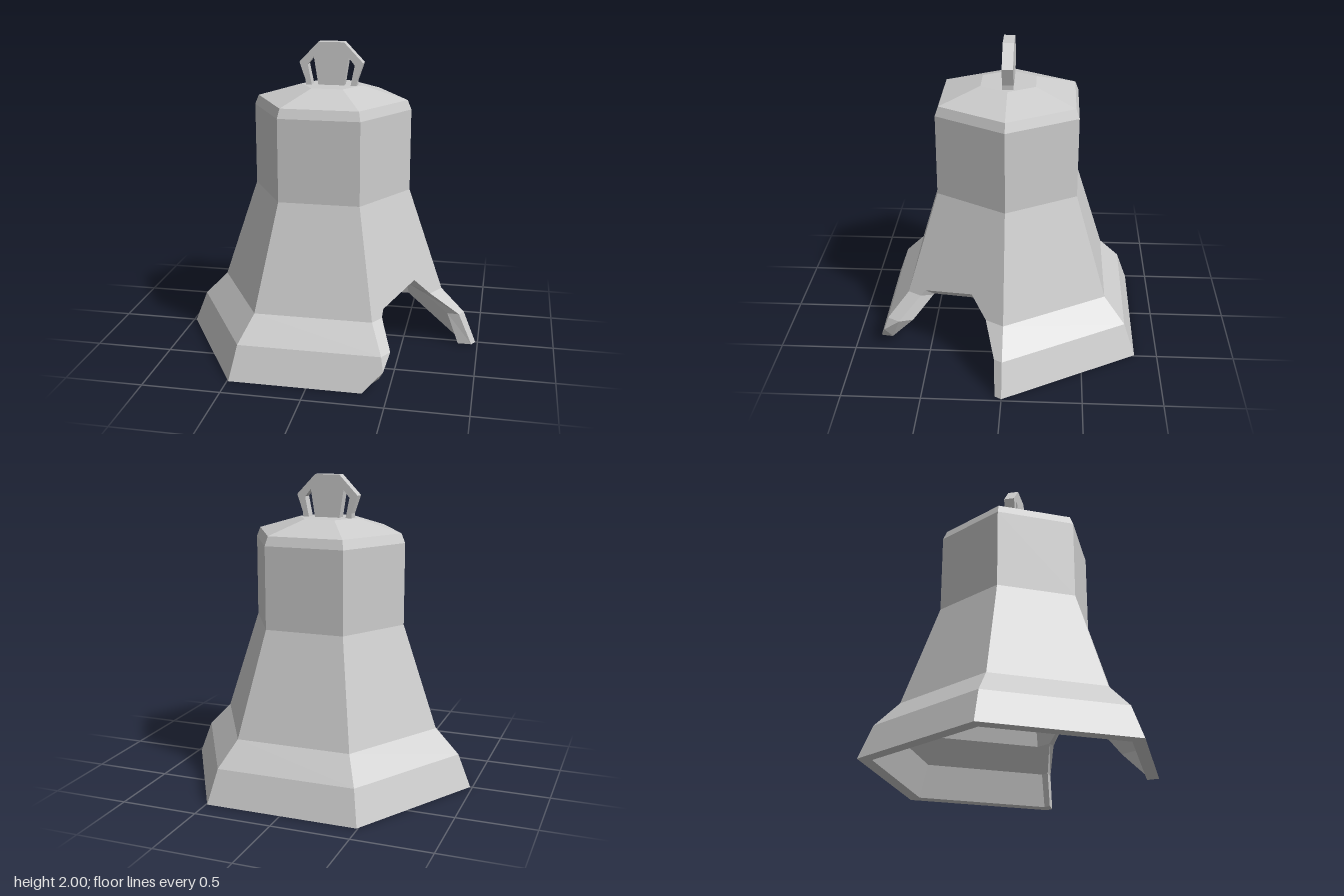
import * as THREE from 'three';

// Radius (to the hexagon corners) and height, from the rim up
const OUTER = [[0.985, 0], [0.9, 0.215], [0.745, 0.375], [0.515, 1.05], [0.515, 1.58], [0.49, 1.64], [0.2, 1.725], [0, 1.727]];
const INNER = [[0.895, 0], [0.82, 0.215], [0.68, 0.375], [0.445, 1.05], [0.445, 1.55], [0, 1.65]];

// Edge of the broken-out gap: [position around in sixths, height]
const OUTER_GAP = [[0.05, 0], [0.065, 0.215], [0.175, 0.375], [0.343, 0.5], [0.835, 0.42], [0.868, 0.375], [0.9, 0.215], [1, 0.13], [1.15, 0]];
const INNER_GAP = [[0.055, 0], [0.065, 0.215], [0.16, 0.375], [0.31, 0.455], [0.8, 0.385], [0.81, 0.375], [0.86, 0.215], [1, 0.06], [1.1, 0]];

// Point on the hexagonal surface of a profile
function pointOn(profile, [t, y]) {
  let k = 0;
  while (k < profile.length - 2 && y > profile[k + 1][1]) k++;
  const [r0, y0] = profile[k], [r1, y1] = profile[k + 1];
  const r = r0 + (r1 - r0) * (y - y0) / (y1 - y0);
  const i = Math.floor(t), f = t - i;
  const a = i * Math.PI / 3, b = (i + 1) * Math.PI / 3;
  return [
    r * (Math.cos(a) * (1 - f) + Math.cos(b) * f), y,
    r * (Math.sin(a) * (1 - f) + Math.sin(b) * f),
  ];
}

function flatGeometry(positions) {
  const g = new THREE.BufferGeometry();
  g.setAttribute('position', new THREE.Float32BufferAttribute(positions, 3));
  g.computeVertexNormals();
  return g;
}

// Six-sided wall with the gap left open
function wallGeometry(profile, gap, outward) {
  const out = [];
  const addPolygon = (poly) => {
    const pts = poly.map(([t, y]) => new THREE.Vector2(t, y));
    for (const [a, b, c] of THREE.ShapeUtils.triangulateShape(pts, [])) {
      const ccw = THREE.ShapeUtils.area([pts[a], pts[b], pts[c]]) > 0;
      const order = ccw === outward ? [a, c, b] : [a, b, c];
      for (const n of order) out.push(...pointOn(profile, poly[n]));
    }
  };
  const ys = profile.map((p) => p[1]);
  for (let side = 0; side < 6; side++) {
    for (let k = 0; k < ys.length - 1; k++) {
      const lo = ys[k], hi = ys[k + 1];
      if (side === 0 && k < 2) {
        // strips left standing on both sides of the gap
        addPolygon([[0, lo], gap[k], gap[k + 1], [0, hi]]);
        if (k === 0) addPolygon([gap[7], [1, hi], gap[6]]);
        else addPolygon([gap[6], [1, lo], [1, hi], gap[5]]);
      } else if (side === 0 && k === 2) {
        addPolygon([[0, lo], gap[2], gap[3], gap[4], gap[5], [1, lo], [1, hi], [0, hi]]);
      } else if (side === 1 && k === 0) {
        addPolygon([gap[8], [2, lo], [2, hi], [1, hi], gap[7]]);
      } else {
        addPolygon([[side, lo], [side + 1, lo], [side + 1, hi], [side, hi]]);
      }
    }
  }
  return flatGeometry(out);
}

// Strip joining a path on the outside to one on the inside
function edgeGeometry(outerPath, innerPath) {
  const out = [];
  const o = outerPath.map((p) => pointOn(OUTER, p));
  const n = innerPath.map((p) => pointOn(INNER, p));
  for (let i = 0; i < o.length - 1; i++) {
    out.push(...o[i], ...o[i + 1], ...n[i + 1], ...o[i], ...n[i + 1], ...n[i]);
  }
  return flatGeometry(out);
}

export function createModel() {
  const model = new THREE.Group();
  model.name = 'brokenBell';
  const metal = new THREE.MeshStandardMaterial({ color: 0xcccccc });
  metal.name = 'greyMetal';
  const add = (name, geometry) => {
    const mesh = new THREE.Mesh(geometry, metal);
    mesh.name = name;
    model.add(mesh);
  };

  // Bell body
  add('outerWall', wallGeometry(OUTER, OUTER_GAP, true));
  add('innerWall', wallGeometry(INNER, INNER_GAP, false));
  add('brokenEdge', edgeGeometry(OUTER_GAP, INNER_GAP));

  // Underside of the rim, from one end of the gap round to the other
  const corners = [2, 3, 4, 5, 6].map((t) => [t, 0]);
  add('rim', edgeGeometry(
    [OUTER_GAP[8], ...corners, [6 + OUTER_GAP[0][0], 0]],
    [INNER_GAP[8], ...corners, [6 + INNER_GAP[0][0], 0]],
  ));

  // Hanging loop: flat plate with a slot on each side of its centre
  const half = [[0.083, 1.72], [0.112, 1.905], [0.152, 1.855], [0.125, 1.72], [0.165, 1.72], [0.167, 1.755], [0.207, 1.87], [0.083, 2]];
  const outline = [...half, ...half.map(([x, y]) => [-x, y]).reverse()];
  const plate = new THREE.ExtrudeGeometry(
    new THREE.Shape(outline.map(([x, y]) => new THREE.Vector2(x, y))),
    { depth: 0.07, bevelEnabled: false },
  );
  plate.translate(0, 0, -0.035);
  add('hangingLoop', plate);

  return model;
}
